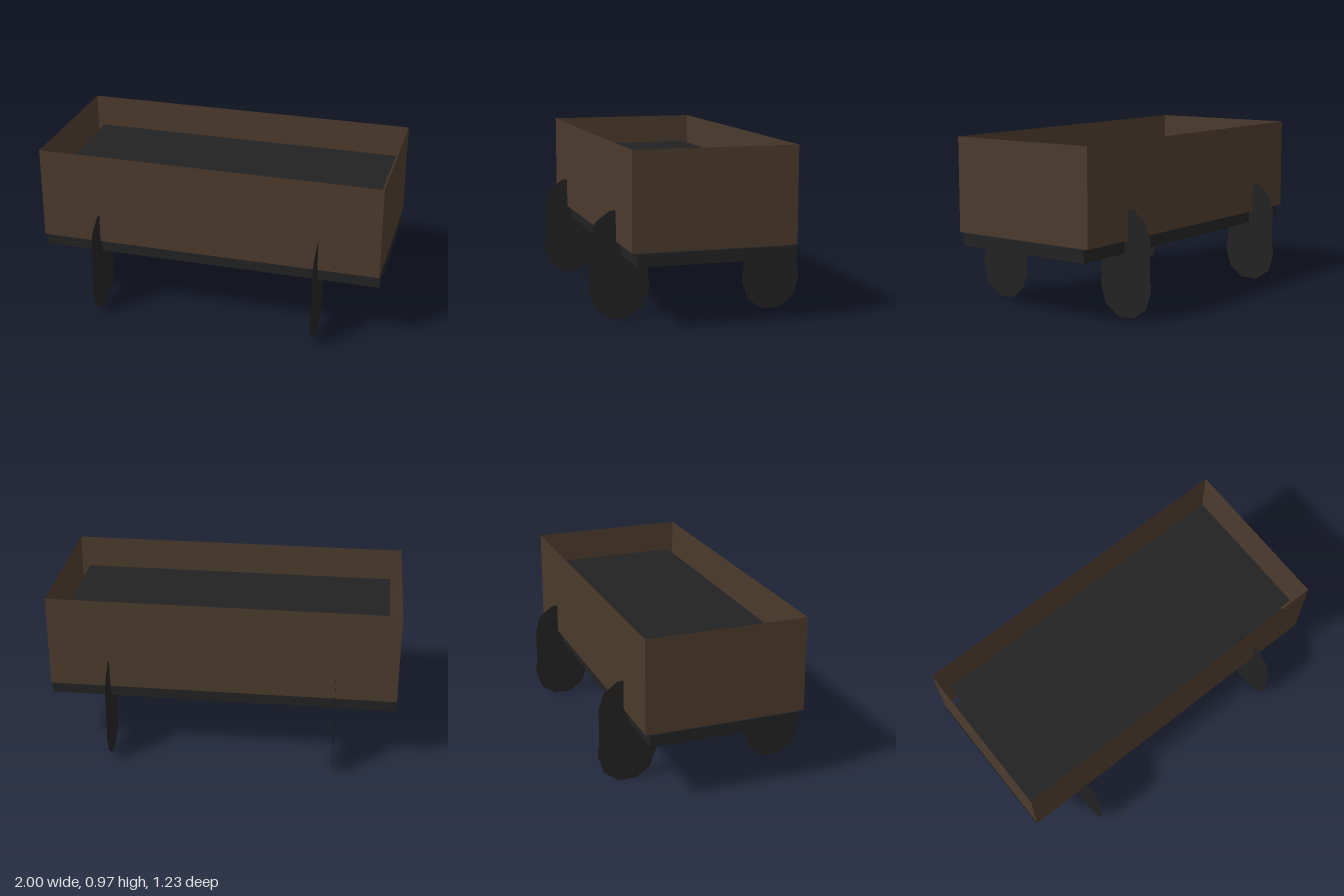
import * as THREE from 'three';

export function createModel() {
  const wood = new THREE.MeshStandardMaterial({ color: 0x4b3a2c, side: THREE.DoubleSide });
  wood.name = 'brown wood';
  const black = new THREE.MeshStandardMaterial({ color: 0x222222, side: THREE.DoubleSide });
  black.name = 'dark grey';

  const group = new THREE.Group();
  group.name = 'wagon';
  const add = (name, geometry, material, x, y, z) => {
    const mesh = new THREE.Mesh(geometry, material);
    mesh.name = name;
    mesh.position.set(x, y, z);
    group.add(mesh);
    return mesh;
  };

  // Chassis slab and the raised load surface inside the box
  add('chassis', new THREE.BoxGeometry(2, 0.07, 0.868), black, 0, 0.39, 0);
  add('loadSurface', new THREE.PlaneGeometry(1.88, 0.81).rotateX(-Math.PI / 2), black, 0, 0.8, 0);

  // Four sheet walls
  const wallHeight = 0.54, wallY = 0.7;
  for (const s of [1, -1]) {
    const side = add(s > 0 ? 'frontWall' : 'backWall',
      new THREE.PlaneGeometry(2, wallHeight), wood, 0, wallY, s * 0.46);
    side.rotation.y = s > 0 ? 0 : Math.PI;
    const end = add(s > 0 ? 'leftWall' : 'rightWall',
      new THREE.PlaneGeometry(0.92, wallHeight), wood, s, wallY, 0);
    end.rotation.y = s * Math.PI / 2;
  }

  // Flat leg outline: half a ten-sided foot, a straight shank and a ten-sided cap
  const half = [
    [0.0525, 0], [0.1375, 0.062], [0.17, 0.162], [0.17, 0.205],
    [0.162, 0.23], [0.162, 0.45], [0.131, 0.543], [0.05, 0.602],
  ];
  const outline = [...half, ...half.map(([u, y]) => [-u, y]).reverse()];
  const legGeometry = new THREE.ShapeGeometry(
    new THREE.Shape(outline.map(([u, y]) => new THREE.Vector2(u, y)))).rotateY(Math.PI / 2);
  for (const x of [0.65, -0.65]) {
    for (const z of [0.443, -0.443]) {
      add((z > 0 ? 'front' : 'back') + (x > 0 ? 'LeftLeg' : 'RightLeg'), legGeometry, black, x, 0, z);
    }
  }
  return group;
}
